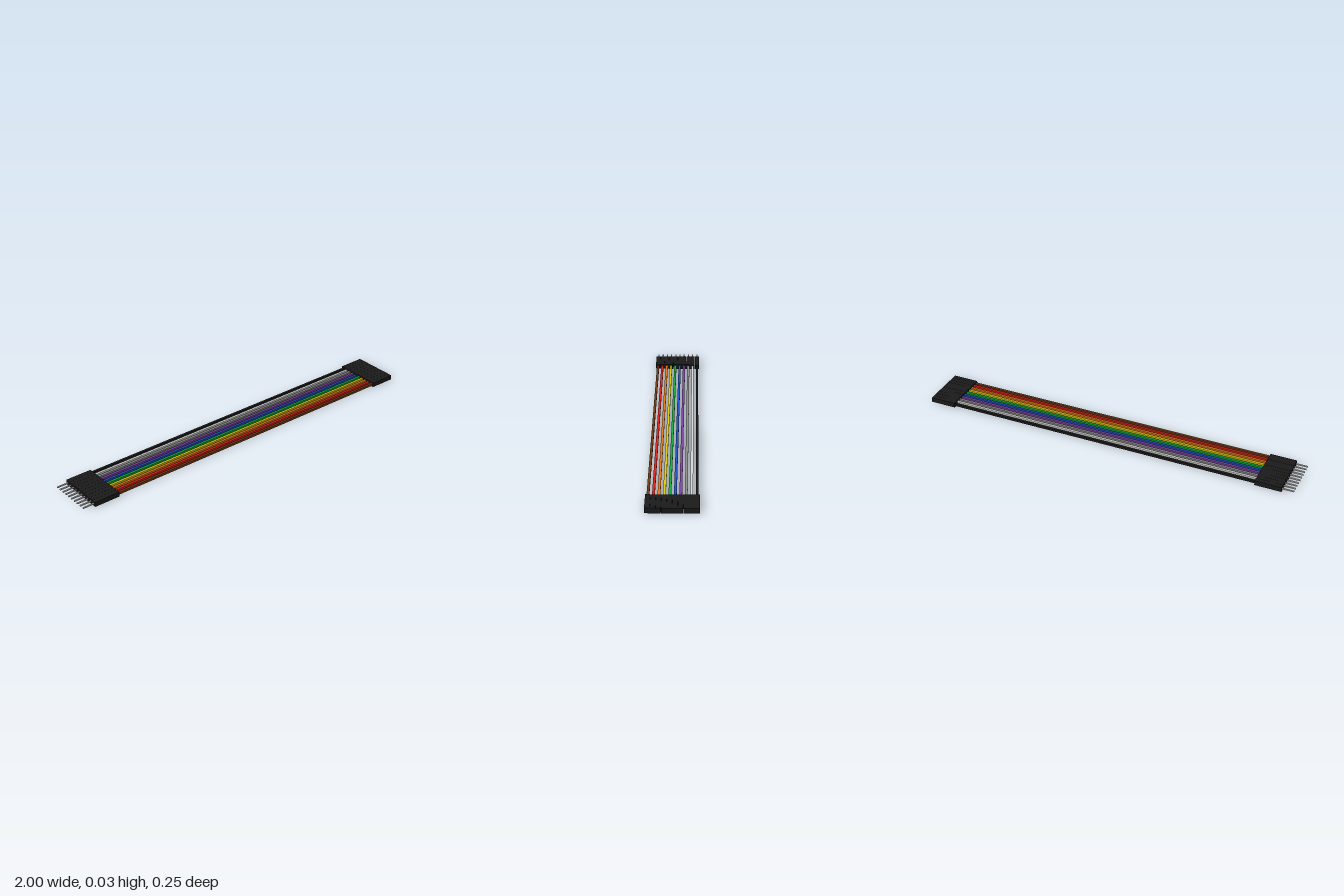
import * as THREE from 'three';

const PITCH = 0.0246, HEIGHT = 0.025, MID = HEIGHT / 2;

// Wire colours in order from the back (-z) to the front (+z)
const COLOURS = [
  ['black', 0x1a1a1a], ['white', 0xd6d6d6], ['grey', 0x8e8e8e], ['purple', 0x8042a6],
  ['blue', 0x2050c0], ['green', 0x14a83a], ['yellow', 0xe0c810], ['orange', 0xe07818],
  ['red', 0xdc2018], ['brown', 0x6e3814],
];

export function createModel() {
  const group = new THREE.Group();
  group.name = 'ribbonCable';
  const mats = COLOURS.map(([name, color]) => {
    const m = new THREE.MeshStandardMaterial({ color });
    m.name = name;
    return m;
  });
  const [black, white] = mats;

  const add = (name, geometry, material, x, z) => {
    const mesh = new THREE.Mesh(geometry, material);
    mesh.name = name;
    mesh.position.set(x, MID, z);
    group.add(mesh);
  };

  // Shared shapes, all running along x
  const housing = new THREE.BoxGeometry(0.137, HEIGHT, PITCH - 0.0006);
  const pin = new THREE.BoxGeometry(0.08, 0.006, 0.006);
  const wire = new THREE.BoxGeometry(1.69, 0.0125, 0.0125);

  mats.forEach((material, i) => {
    const z = (i - 4.5) * PITCH;
    add('wire', wire, material, 0.03, z);
    add('plugHousing', housing, black, -0.8715, z);
    add('socketHousing', housing, black, 0.9315, z);
    add('pin', pin, white, -0.96, z);
  });
  return group;
}
